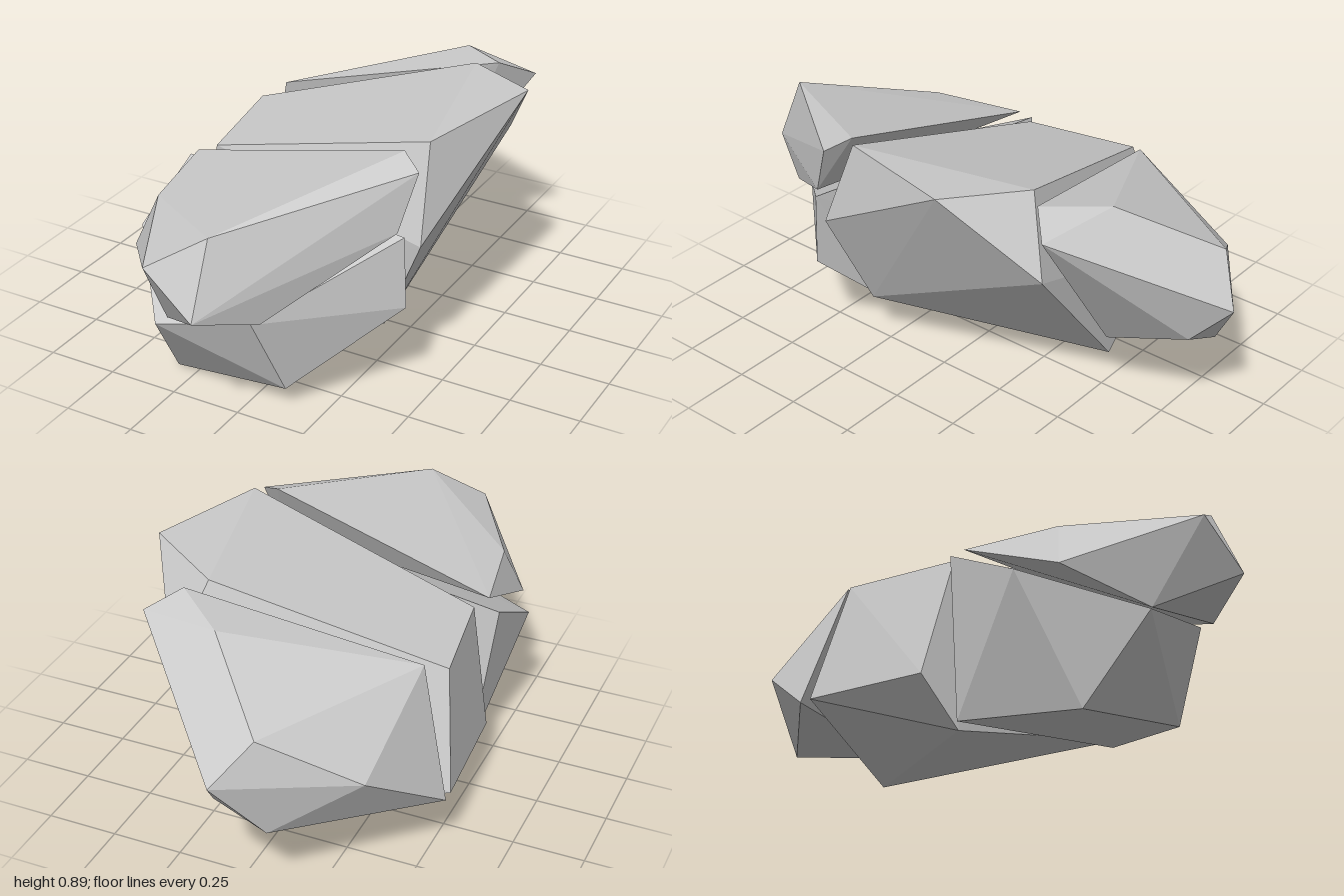
import * as THREE from 'three';
import { ConvexGeometry } from 'three/addons/geometries/ConvexGeometry.js';

// Each chunk of the split boulder is the convex hull of its corners.
const chunks = {
  middleChunk: [
    [0.555, 0.89, -0.235], [0.28, 0.865, -0.41], [0.425, 0.865, 0.23], [-0.5, 0.63, -0.25], [-0.435, 0.62, 0.16], // top
    [0.455, 0.545, 0.345], [0.375, 0.605, -0.52], [-0.56, 0.225, -0.36], [-0.52, 0.2, 0.1], // sides
    [0.295, 0.18, 0.287], [-0.06, 0.09, -0.485], [-0.38, 0.035, 0.14], // underside
  ],
  backChunk: [
    [0.34, 0.855, -0.47], [0.15, 0.825, -0.625], [-0.11, 0.645, -0.89], [-0.44, 0.67, -0.32], // top
    [0, 0.505, -1], [-0.405, 0.453, -0.72], [0.44, 0.8, -0.565], [-0.56, 0.225, -0.405], // sides
    [0.08, 0.265, -0.57], [-0.13, 0.28, -0.86], [0.05, 0.37, -0.87], // underside
  ],
  upperFrontChunk: [
    [0.365, 0.845, 0.29], [0.005, 0.72, 0.89], [-0.4, 0.62, 0.57], [-0.465, 0.625, 0.23], // top
    [0.445, 0.81, 0.345], [-0.18, 0.61, 0.98], [0.005, 0.47, 1], // sides
    [0.41, 0.62, 0.42], [-0.465, 0.445, 0.62], [-0.225, 0.325, 0.8], [0.125, 0.4, 0.8], // underside
  ],
  lowerFrontChunk: [
    [-0.51, 0.59, 0.21], [-0.53, 0.44, 0.49], [-0.26, 0.3, 0.82], [0.08, 0.375, 0.78], [0.43, 0.605, 0.41], // top
    [0.44, 0.35, 0.41], [0.125, 0.075, 0.65], [-0.33, 0, 0.6], [-0.44, 0.035, 0.185], [0.19, 0.105, 0.335], // base
  ],
};

export function createModel() {
  const group = new THREE.Group();
  group.name = 'splitBoulder';
  const stone = new THREE.MeshStandardMaterial({ color: 0xcccccc, flatShading: true });
  for (const [name, corners] of Object.entries(chunks)) {
    const points = corners.map((c) => new THREE.Vector3(...c));
    const mesh = new THREE.Mesh(new ConvexGeometry(points), stone);
    mesh.name = name;
    group.add(mesh);
  }
  return group;
}
